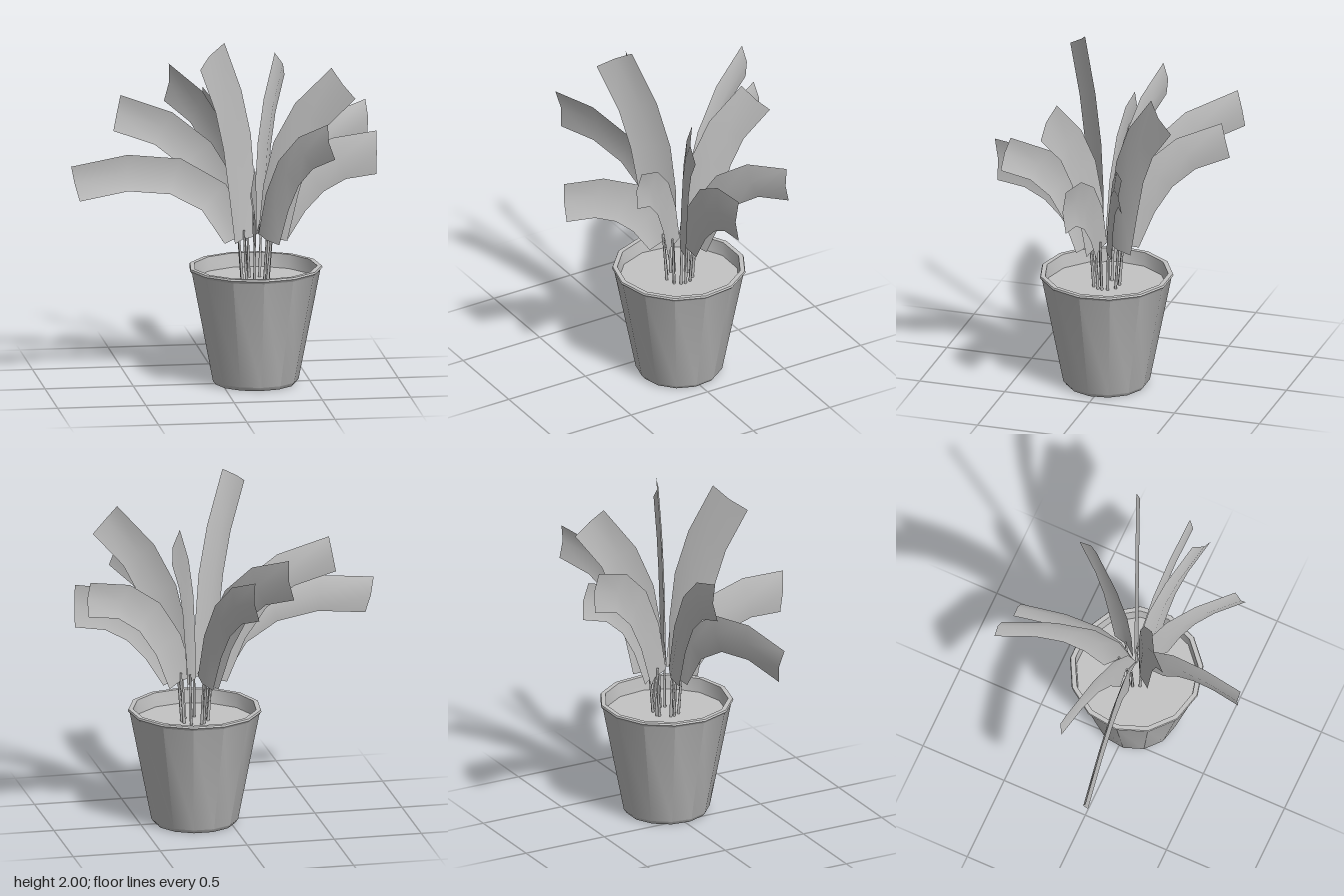
import * as THREE from 'three';
import { toCreasedNormals } from 'three/addons/utils/BufferGeometryUtils.js';

const POT_X = 0.19;
const SOIL_Y = 0.59;
const BASE = new THREE.Vector2(0.1, 0.835); // where every blade starts: radius, height

// Each leaf: direction from the pot axis [x, z], blade end [radius, height], end slope in degrees, width
const LEAVES = [
  [-1.05, 0.16, 1.055, 1.21, -14, 0.21],
  [-0.77, -0.11, 0.775, 1.55, 11, 0.21],
  [-0.405, -0.68, 0.78, 1.59, 11, 0.225],
  [-0.21, -0.64, 0.67, 1.465, 12, 0.215],
  [0.235, -0.44, 0.43, 1.74, 45, 0.226],
  [0.685, -0.3, 0.74, 1.44, 4, 0.2],
  [0.685, 0.03, 0.685, 1.305, 0, 0.25],
  [0.525, 0.22, 0.51, 1.745, 39, 0.22],
  [0.37, 0.5, 0.6, 1.475, 17, 0.2],
  [-0.115, 0.68, 0.69, 1.225, -4, 0.25],
  [-0.365, 0.32, 0.38, 1.94, 60, 0.24],
];

const polar = (len, deg) =>
  new THREE.Vector2(Math.cos(deg * Math.PI / 180), Math.sin(deg * Math.PI / 180)).multiplyScalar(len);

// Upright arching ribbon in the local x-y plane, with a shallow fold along its middle
function bladeGeometry(r, y, slope, width) {
  const tip = new THREE.Vector2(r, y);
  const reach = 0.42 * tip.distanceTo(BASE);
  const curve = new THREE.CubicBezierCurve(
    BASE,
    BASE.clone().add(polar(reach, 73 + 0.2 * Math.max(0, slope))),
    tip.clone().sub(polar(reach, slope)),
    tip);
  const pos = [], index = [], steps = 4;
  for (let i = 0; i <= steps; i++) {
    const t = i / steps;
    const p = curve.getPoint(t), d = curve.getTangent(t);
    const w = THREE.MathUtils.lerp(0.17, width, Math.min(1, t * 3));
    for (const s of [-0.5, 0, 0.5]) {
      pos.push(p.x - d.y * w * s, p.y + d.x * w * s, s === 0 ? 0.01 : -0.01);
    }
    if (i < steps) {
      for (let k = 0; k < 2; k++) {
        const a = i * 3 + k, b = a + 3;
        index.push(a, b, b + 1, a, b + 1, a + 1);
      }
    }
  }
  const g = new THREE.BufferGeometry();
  g.setAttribute('position', new THREE.Float32BufferAttribute(pos, 3));
  g.setIndex(index);
  g.computeVertexNormals();
  return g;
}

export function createModel() {
  const model = new THREE.Group();
  model.name = 'pottedPlant';
  const grey = new THREE.MeshStandardMaterial({ color: 0xc4c4c4, side: THREE.DoubleSide });
  grey.name = 'plain grey';

  const add = (parent, name, geometry) => {
    const mesh = new THREE.Mesh(geometry, grey);
    mesh.name = name;
    parent.add(mesh);
    return mesh;
  };

  // Thirteen-sided tapered pot with a small lip and inner wall
  const profile = [
    [0, 0], [0.228, 0], [0.245, 0.022], [0.366, 0.645], [0.378, 0.66],
    [0.374, 0.67], [0.348, 0.67], [0.338, SOIL_Y - 0.02],
  ].map(([x, y]) => new THREE.Vector2(x, y));
  add(model, 'pot', toCreasedNormals(new THREE.LatheGeometry(profile, 13), 0.6)).position.x = POT_X;

  // Soil surface
  const soil = add(model, 'soil', new THREE.CircleGeometry(0.341, 13, Math.PI / 2));
  soil.rotation.set(-Math.PI / 2, 0, Math.PI);
  soil.position.set(POT_X, SOIL_Y, 0);

  // Leaves fanned around the pot axis, each on a thin stem
  for (const [dx, dz, r, y, slope, width] of LEAVES) {
    const leaf = new THREE.Group();
    leaf.name = 'leaf';
    leaf.position.x = POT_X;
    leaf.rotation.y = Math.atan2(-dz, dx);
    add(leaf, 'blade', bladeGeometry(r, y, slope, width));

    const stem = add(leaf, 'stem', new THREE.CylinderGeometry(0.006, 0.009, 0.32, 5));
    stem.position.set(0.085, 0.73, 0);
    stem.rotation.z = -0.08;
    model.add(leaf);
  }
  return model;
}
